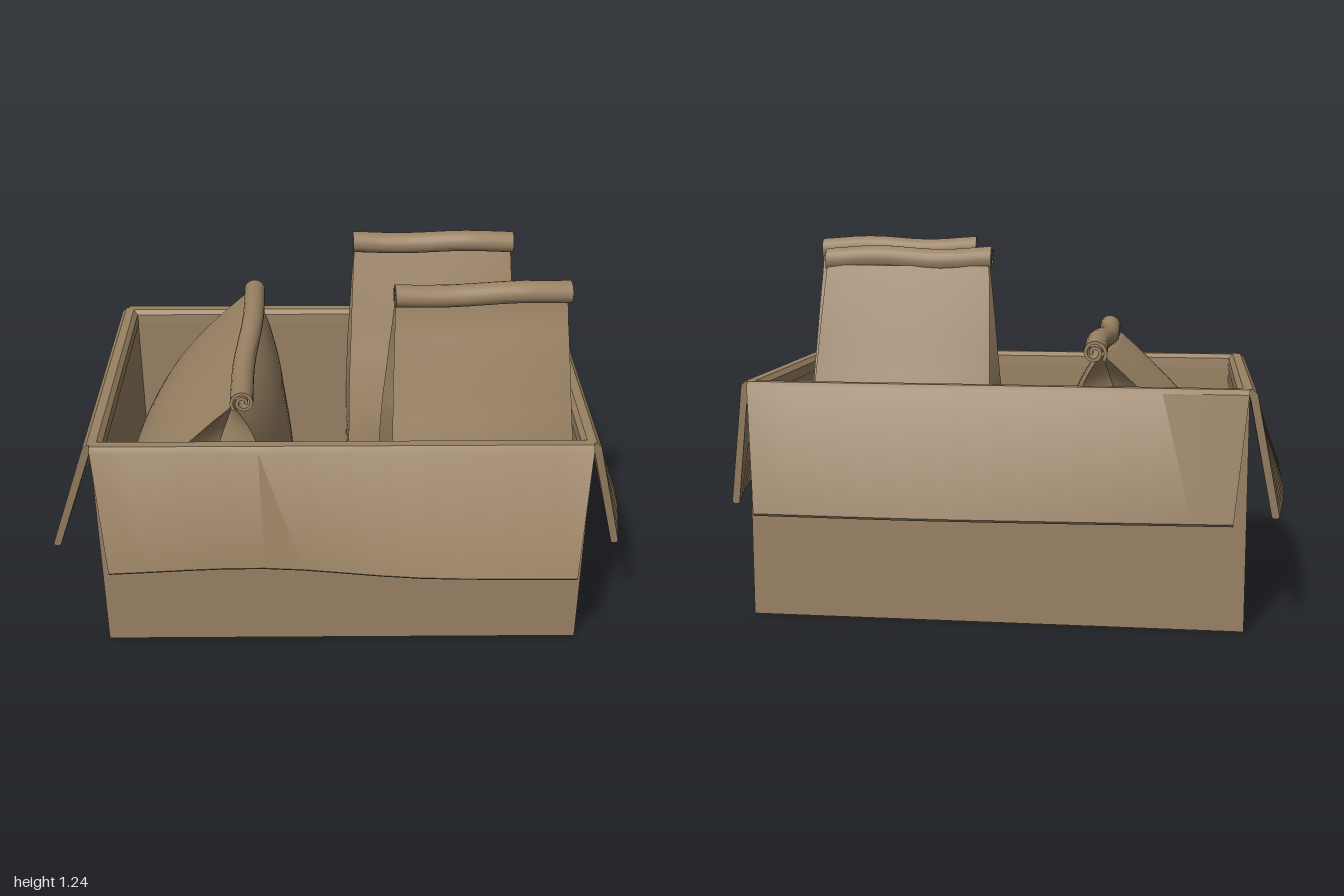
import * as THREE from 'three';
import { toCreasedNormals } from 'three/addons/utils/BufferGeometryUtils.js';

const kraft = new THREE.MeshStandardMaterial({ color: 0x9a8264 });
kraft.name = 'kraft brown';

// Skins a list of equal closed sections; point i faces point n-1-i, which also closes the two ends.
function loft(sections, crease = 0.6) {
  const n = sections[0].length, index = [];
  const quad = (a, b, c, d) => index.push(a, b, c, a, c, d);
  for (let s = 0; s < sections.length - 1; s++) {
    for (let i = 0; i < n; i++) {
      const j = (i + 1) % n, a = s * n, b = a + n;
      quad(a + i, a + j, b + j, b + i);
    }
  }
  const e = (sections.length - 1) * n;
  for (let i = 0; i < n / 2 - 1; i++) {
    quad(n - 1 - i, n - 2 - i, i + 1, i);
    quad(e + i, e + i + 1, e + n - 2 - i, e + n - 1 - i);
  }
  const g = new THREE.BufferGeometry();
  g.setAttribute('position', new THREE.Float32BufferAttribute(sections.flat(2), 3));
  g.setIndex(index);
  return toCreasedNormals(g, crease);
}

function add(parent, name, geometry, x = 0, y = 0, z = 0) {
  const mesh = new THREE.Mesh(geometry, kraft);
  mesh.name = name;
  mesh.position.set(x, y, z);
  parent.add(mesh);
  return mesh;
}

// Hanging flap with a rounded fold; outs are the distances of its lower edge from the wall.
function flapGeometry(half, outs, drop = 0.37) {
  const curve = new THREE.CatmullRomCurve3(outs.map((o, i) => new THREE.Vector3(i, o, 0)));
  const sections = [];
  for (let k = 0; k <= 12; k++) {
    const t = k / 12, out = curve.getPoint(t).y, s = t * 2 - 1;
    const outer = [[-0.037, 0.74], [-0.035, 0.775], [-0.02, 0.79], [0.01, 0.79], [0.025, 0.775], [out, drop + 0.008], [out - 0.006, drop]];
    const inner = [[-0.02, 0.74], [-0.018, 0.76], [-0.012, 0.77], [0, 0.77], [0.004, 0.755], [out - 0.025, drop + 0.006], [out - 0.02, drop]];
    sections.push([...outer, ...inner.reverse()].map(([z, y]) =>
      [s * (half - 0.045 * (0.79 - y) / 0.42), y, z]));
  }
  return loft(sections);
}

// Linear-to-smooth lookup through profile rows [y, halfDepth, halfWidth, lean, gusset]
function sampleProfile(rows, count) {
  const result = [];
  for (let k = 0; k <= count; k++) {
    const f = k / count * (rows.length - 1), i = Math.min(Math.floor(f), rows.length - 2), t = f - i;
    const at = j => rows[Math.max(0, Math.min(rows.length - 1, j))];
    result.push(rows[0].map((_, c) => {
      const p0 = at(i - 1)[c], p1 = at(i)[c], p2 = at(i + 1)[c], p3 = at(i + 2)[c];
      return p1 + 0.5 * t * (p2 - p0 + t * (2 * p0 - 5 * p1 + 4 * p2 - p3 + t * (3 * (p1 - p2) + p3 - p0)));
    }));
  }
  return result;
}

// Paper bag with folded gussets at the sides and a rolled top
function makeBag(name, rows, bulge, radius) {
  const bag = new THREE.Group();
  bag.name = name;
  const n = 12;
  const sections = sampleProfile(rows, 30).map(([y, d, w, lean, gusset]) => {
    const swell = bulge * Math.min(1, d / 0.15);
    const face = side => Array.from({ length: n + 1 }, (_, i) => {
      const s = (i / n * 2 - 1) * side;
      return [s * w, y, lean + side * (d + swell * (1 - s * s))];
    });
    return [[-w + gusset, y, lean], ...face(1), [w - gusset, y, lean], ...face(-1)];
  });
  add(bag, 'bagBody', loft(sections, 0.7));

  // Spiral roll along the top, curling to the front
  const [top, , halfWidth, lean] = rows[rows.length - 1];
  const rolls = [];
  for (let k = 0; k <= 10; k++) {
    const s = k / 10 * 2 - 1, wave = 0.006 * Math.sin(s * 4);
    const outer = [], inner = [];
    for (let i = 0; i <= 36; i++) {
      const t = i / 36, a = Math.PI + 0.7 - t * 3.4 * Math.PI, r = radius * (1 - 0.66 * t);
      const point = q => [s * (halfWidth + 0.005), top + 0.02 + wave + q * Math.sin(a), lean + 0.03 + wave + q * Math.cos(a)];
      outer.push(point(r));
      inner.unshift(point(r - 0.011));
    }
    rolls.push([...outer, ...inner]);
  }
  add(bag, 'rolledTop', loft(rolls));
  return bag;
}

export function createModel() {
  const model = new THREE.Group();
  model.name = 'boxOfPaperBags';

  // Open box
  const box = new THREE.Group();
  box.name = 'cardboardBox';
  box.position.set(-0.01, 0, -0.005);
  box.rotation.y = 0.19;
  model.add(box);
  const W = 0.805, D = 0.505, T = 0.035, H = 0.765;
  add(box, 'boxFloor', new THREE.BoxGeometry(2 * W - 0.01, 0.03, 2 * D - 0.01), 0, 0.02, 0);
  for (const s of [-1, 1]) {
    add(box, s > 0 ? 'frontWall' : 'backWall', new THREE.BoxGeometry(2 * W, H, T), 0, 0.008 + H / 2, s * (D - T / 2));
    add(box, s > 0 ? 'leftWall' : 'rightWall', new THREE.BoxGeometry(T, H, 2 * (D - T)), s * (W - T / 2), 0.008 + H / 2, 0);
  }

  // Four flaps folded outwards
  const flaps = [
    ['frontFlap', 0, W, D, [0.127, 0.1, 0.157, 0.167]],
    ['backFlap', Math.PI, W, D, [0.125, 0.131, 0.114, 0.09]],
    ['leftFlap', Math.PI / 2, D, W, [0.125, 0.17, 0.148, 0.081]],
    ['rightFlap', -Math.PI / 2, D, W, [0.106, 0.139, 0.156, 0.163]],
  ];
  for (const [name, turn, half, reach, outs] of flaps) {
    const flap = add(box, name, flapGeometry(half, outs), Math.sin(turn) * reach, 0, Math.cos(turn) * reach);
    flap.rotation.y = turn;
  }

  // Two tall bags
  const tall = (top, w) => [
    [0.04, 0.22, w, 0, 0], [0.25, 0.225, w + 0.015, 0, 0.005], [0.5, 0.215, w + 0.015, 0, 0.02],
    [0.7, 0.165, w + 0.012, 0, 0.05], [0.85, 0.115, w + 0.006, 0, 0.09], [1.0, 0.065, w, 0, 0.1],
    [1.1, 0.03, w - 0.005, 0, 0.08], [top, 0.01, w - 0.008, 0, 0.05],
  ];
  const frontBag = makeBag('frontBag', tall(1.175, 0.288), 0.02, 0.046);
  frontBag.position.set(0.477, 0, 0.135);
  frontBag.rotation.y = 0.26;
  const backBag = makeBag('backBag', tall(1.155, 0.283), 0.02, 0.046);
  backBag.position.set(0.262, 0, -0.305);
  backBag.rotation.y = 0.2;

  // Wide low bag leaning to one side
  const wideBag = makeBag('wideBag', [
    [0.04, 0.24, 0.41, -0.02, 0], [0.2, 0.26, 0.43, -0.02, 0.005], [0.4, 0.25, 0.435, -0.02, 0.02],
    [0.56, 0.205, 0.435, 0.005, 0.05], [0.7, 0.14, 0.435, 0.05, 0.09], [0.8, 0.075, 0.435, 0.085, 0.1],
    [0.875, 0.012, 0.435, 0.105, 0.05],
  ], 0.045, 0.044);
  wideBag.position.set(-0.455, 0, 0.07);
  wideBag.rotation.y = 1.75;

  model.add(frontBag, backBag, wideBag);
  return model;
}
